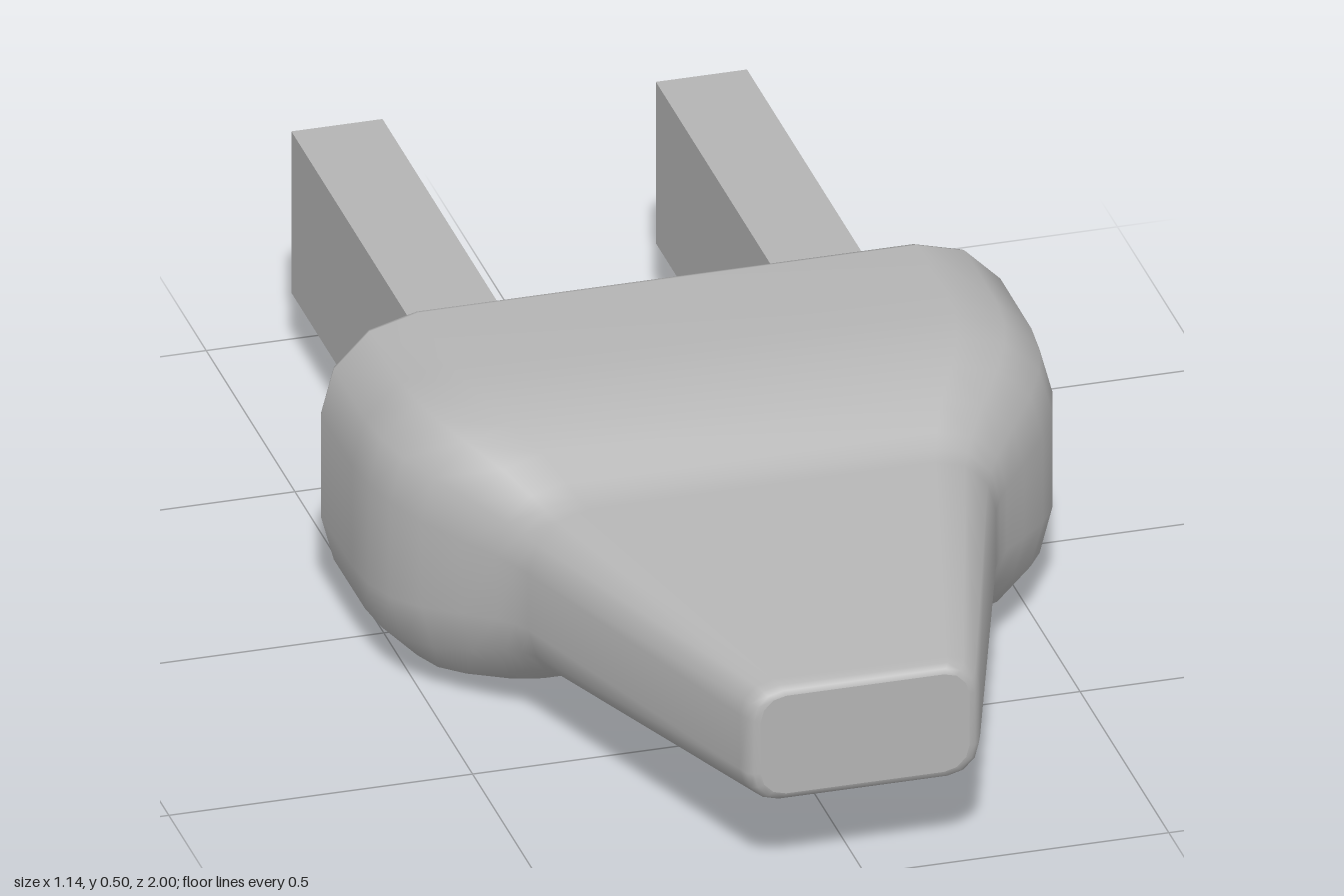
import * as THREE from 'three';

const grey = new THREE.MeshStandardMaterial({ color: 0xb4b4b4 });
grey.name = 'grey';

const CORNER_STEPS = 3;

// Points of a rounded rectangle, counter-clockwise seen from +z
function ring([z, w, h, r]) {
  const points = [];
  [[1, 1], [-1, 1], [-1, -1], [1, -1]].forEach(([sx, sy], corner) => {
    for (let i = 0; i <= CORNER_STEPS; i++) {
      const a = (corner + i / CORNER_STEPS) * Math.PI / 2;
      points.push([sx * (w - r) + r * Math.cos(a), sy * (h - r) + r * Math.sin(a), z]);
    }
  });
  return points;
}

// Smooth skin through the sections, closed by flat caps
function loft(sections) {
  const positions = [], index = [];
  const n = 4 * (CORNER_STEPS + 1);
  const addRing = (s) => ring(s).forEach((p) => positions.push(...p));
  sections.forEach(addRing);
  for (let s = 0; s < sections.length - 1; s++) {
    for (let i = 0; i < n; i++) {
      const a = s * n + i, b = s * n + (i + 1) % n;
      index.push(a, b, a + n, b, b + n, a + n);
    }
  }
  [sections[0], sections[sections.length - 1]].forEach((s, end) => {
    const base = positions.length / 3;
    addRing(s);
    for (let i = 1; i < n - 1; i++) {
      if (end) index.push(base, base + i, base + i + 1);
      else index.push(base, base + i + 1, base + i);
    }
  });
  const geometry = new THREE.BufferGeometry();
  geometry.setAttribute('position', new THREE.Float32BufferAttribute(positions, 3));
  geometry.setIndex(index);
  geometry.computeVertexNormals();
  return geometry;
}

// Flat blade whose far end narrows to a blunt tip
function bladeGeometry() {
  const box = new THREE.BoxGeometry(0.15, 0.288, 1, 1, 1, 2);
  const p = box.attributes.position;
  for (let i = 0; i < p.count; i++) {
    const z = p.getZ(i);
    if (z < -0.25) p.setXYZ(i, p.getX(i) * 0.5, p.getY(i) * 0.76, -1);
    else p.setZ(i, z > 0.25 ? -0.1 : -0.948);
  }
  const geometry = box.toNonIndexed();
  geometry.computeVertexNormals();
  return geometry;
}

export function createModel() {
  const model = new THREE.Group();
  model.name = 'powerPlug';

  // Housing and tapered grip: z, half width, half height, corner radius
  const body = new THREE.Mesh(loft([
    [-0.131, 0.556, 0.236, 0.15],
    [-0.127, 0.566, 0.246, 0.157],
    [-0.115, 0.57, 0.25, 0.16],
    [0.06, 0.57, 0.249, 0.16],
    [0.13, 0.563, 0.248, 0.16],
    [0.19, 0.545, 0.241, 0.157],
    [0.25, 0.512, 0.226, 0.15],
    [0.31, 0.463, 0.2, 0.135],
    [0.36, 0.42, 0.171, 0.115],
    [0.39, 0.4, 0.157, 0.105],
    [0.42, 0.385, 0.15, 0.1],
    [0.97, 0.198, 0.103, 0.055],
    [0.988, 0.191, 0.101, 0.052],
    [0.997, 0.182, 0.095, 0.048],
    [1, 0.172, 0.087, 0.042],
  ]), grey);
  body.name = 'body';
  body.position.y = 0.25;
  model.add(body);

  // Pair of contact blades
  const geometry = bladeGeometry();
  for (const side of [-1, 1]) {
    const blade = new THREE.Mesh(geometry, grey);
    blade.name = side > 0 ? 'leftBlade' : 'rightBlade';
    blade.position.set(side * 0.3, 0.255, 0);
    model.add(blade);
  }
  return model;
}
